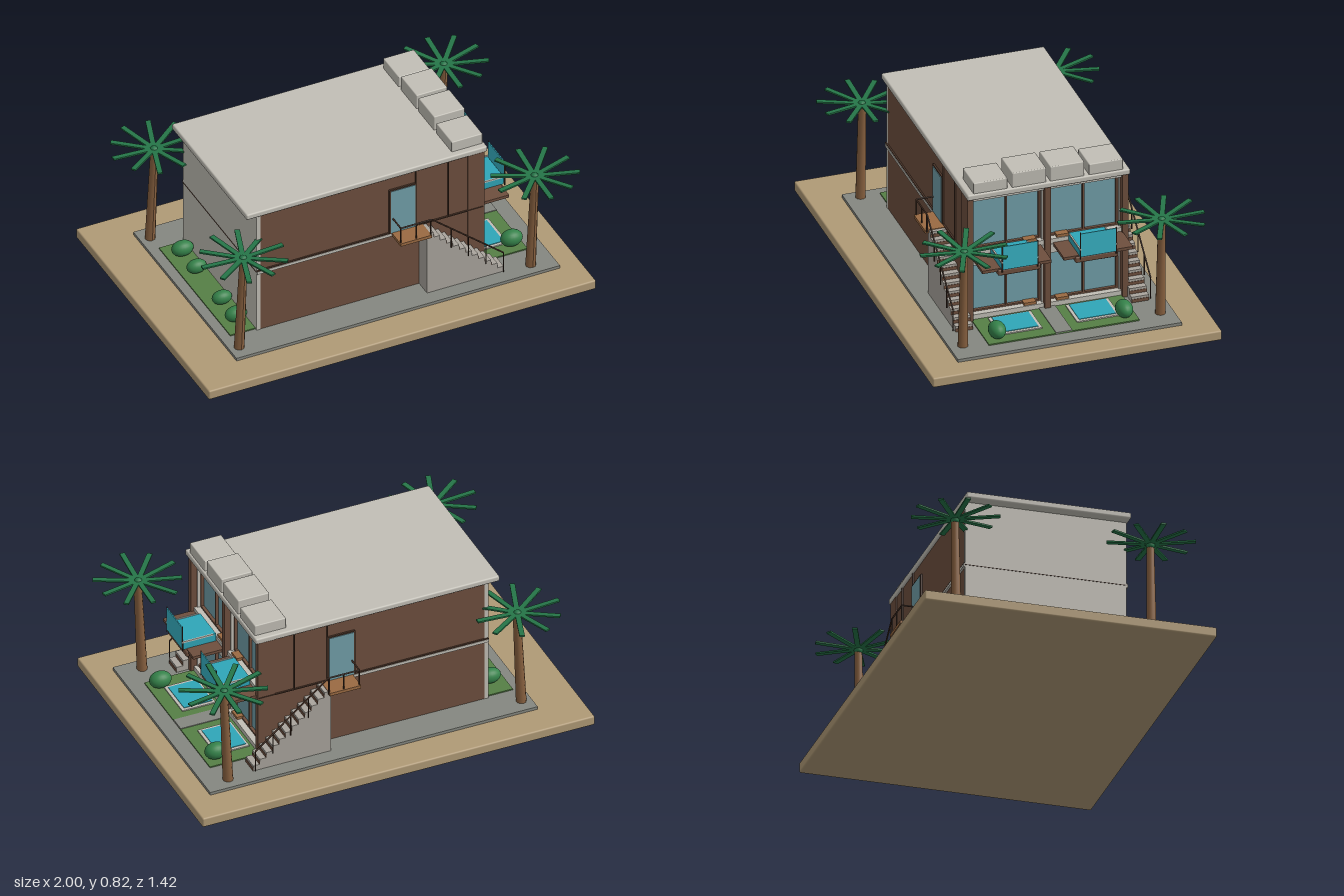
import * as THREE from 'three';
import { RoundedBoxGeometry } from 'three/addons/geometries/RoundedBoxGeometry.js';

const mat = (color) => new THREE.MeshStandardMaterial({ color });
const M = {
  sand: mat(0xb09a76), paving: mat(0x858780), grass: mat(0x557f45), brown: mat(0x6e4f3e),
  dark: mat(0x4a3428), concrete: mat(0xc2bfb6), stair: mat(0xaaa59d), glass: mat(0x72a0aa),
  water: mat(0x2fa6b8), panel: mat(0x38b4c6), wood: mat(0x9a6a42), trunk: mat(0x87603f),
  leaf: mat(0x257548), bush: mat(0x35824a),
};

function add(parent, name, geometry, material) {
  const mesh = new THREE.Mesh(geometry, material);
  mesh.name = name;
  parent.add(mesh);
  return mesh;
}

// Box given by its limits on each axis; r rounds the edges.
function box(parent, name, material, [x0, x1], [y0, y1], [z0, z1], r = 0) {
  const s = [x1 - x0, y1 - y0, z1 - z0];
  const geometry = r ? new RoundedBoxGeometry(...s, 2, r) : new THREE.BoxGeometry(...s);
  const mesh = add(parent, name, geometry, material);
  mesh.position.set((x0 + x1) / 2, (y0 + y1) / 2, (z0 + z1) / 2);
  return mesh;
}

// Thin round bar between two points.
function bar(parent, name, a, b, radius = 0.004) {
  const from = new THREE.Vector3(...a), to = new THREE.Vector3(...b);
  const dir = to.clone().sub(from);
  const mesh = add(parent, name, new THREE.CylinderGeometry(radius, radius, dir.length(), 8), M.dark);
  mesh.position.copy(from).add(to).multiplyScalar(0.5);
  mesh.quaternion.setFromUnitVectors(new THREE.Vector3(0, 1, 0), dir.normalize());
  return mesh;
}

function group(parent, name) {
  const g = new THREE.Group();
  g.name = name;
  parent.add(g);
  return g;
}

// Sliding windows, balcony and pool of one half; z runs from the middle outwards.
function bay(parent, s) {
  const span = (a, b) => (s > 0 ? [a, b] : [-b, -a]);
  [[0.095, 0.36], [0.43, 0.70]].forEach(([y0, y1], i) => {
    const w = group(parent, i ? 'upperWindow' : 'lowerWindow');
    box(w, 'glass', M.glass, [0.5, 0.515], [y0, y1], span(0.025, 0.355));
    box(w, 'sill', M.concrete, [0.5, 0.56], [y0 - 0.025, y0], span(0.015, 0.365));
    box(w, 'frameTop', M.brown, [0.5, 0.53], [y1 - 0.01, y1], span(0.025, 0.355));
    box(w, 'frameBottom', M.brown, [0.5, 0.53], [y0, y0 + 0.008], span(0.025, 0.355));
    for (const z of [0.022, 0.186, 0.35])
      box(w, 'mullion', M.brown, [0.5, 0.53], [y0, y1], span(z, z + 0.008));
    for (const z of [0.015, 0.358])
      box(w, 'jamb', M.concrete, [0.5, 0.545], [y0, y1], span(z, z + 0.007));
    box(w, 'bench', M.wood, [0.52, 0.555], [y0, y0 + 0.014], span(0.05, 0.11));
  });

  const b = group(parent, 'balcony');
  box(b, 'deck', M.brown, [0.56, 0.715], [0.395, 0.41], span(0.03, 0.37));
  box(b, 'tray', M.brown, [0.56, 0.725], [0.375, 0.405], span(0.085, 0.295), 0.006);
  box(b, 'tub', M.water, [0.565, 0.73], [0.408, 0.452], span(0.105, 0.28));
  for (const z of [0.1, 0.278])
    box(b, 'tubRim', M.concrete, [0.58, 0.74], [0.448, 0.456], span(z, z + 0.007));
  box(b, 'glassRail', M.panel, [0.733, 0.738], [0.412, 0.535], span(0.105, 0.28));
  for (const z of [0.105, 0.28]) bar(b, 'railPost', [0.736, 0.4, z * s], [0.736, 0.54, z * s], 0.003);

  const p = group(parent, 'pool');
  box(p, 'poolEdge', M.concrete, [0.575, 0.745], [0.06, 0.077], span(0.085, 0.295));
  box(p, 'poolWater', M.water, [0.585, 0.73], [0.06, 0.08], span(0.1, 0.28));
}

// Outside stair with landing, door and handrail on one side wall.
function stairSide(parent, s) {
  const span = (a, b) => (s > 0 ? [a, b] : [-b, -a]);
  const g = group(parent, 'sideStair');
  const n = 12, x0 = 0.24, run = 0.033, top = 0.405, rise = (top - 0.065) / n;
  const shape = new THREE.Shape();
  shape.moveTo(x0, 0.065);
  for (let i = 0; i < n; i++) {
    shape.lineTo(x0 + run * i, top - rise * i);
    shape.lineTo(x0 + run * (i + 1), top - rise * i);
  }
  shape.lineTo(x0 + run * n, 0.065);
  const steps = add(g, 'steps', new THREE.ExtrudeGeometry(shape, { depth: 0.085, bevelEnabled: false }), M.stair);
  steps.position.z = s > 0 ? 0.39 : -0.475;
  for (let i = 0; i < n; i++) {
    const x = x0 + run * (i + 1), y = top - rise * i;
    box(g, 'riser', M.brown, [x, x + 0.002], [y - rise, y - 0.012], span(0.39, 0.475));
  }
  box(g, 'landing', M.wood, [0.095, 0.255], [0.392, 0.408], span(0.385, 0.495));

  // Handrail
  const z = 0.485 * s;
  bar(g, 'landingRail', [0.1, 0.49, z], [0.26, 0.49, z]);
  bar(g, 'endRail', [0.1, 0.49, z], [0.1, 0.49, 0.39 * s]);
  for (const x of [0.1, 0.18, 0.255]) bar(g, 'railPost', [x, 0.4, z], [x, 0.49, z]);
  bar(g, 'handrail', [0.26, 0.49, z], [0.63, 0.18, z]);
  for (const x of [0.36, 0.45, 0.54, 0.63]) {
    const y = 0.49 - (x - 0.26) * 0.838;
    bar(g, 'railPost', [x, y - 0.11, z], [x, y, z], 0.003);
  }

  // Door and wall details
  box(g, 'doorFrame', M.dark, [0.082, 0.223], [0.405, 0.655], span(0.385, 0.399));
  box(g, 'doorGlass', M.glass, [0.09, 0.215], [0.41, 0.648], span(0.39, 0.402));
  for (const x of [0.222, 0.39])
    box(g, 'wallSeam', M.dark, [x - 0.002, x + 0.002], [0.405, 0.72], span(0.39, 0.397));
  box(g, 'floorBand', M.concrete, [-0.6, 0.25], [0.39, 0.405], span(0.38, 0.4));
  box(g, 'floorSeam', M.dark, [-0.6, 0.57], [0.405, 0.41], span(0.38, 0.398));
}

// Palm with a leaning trunk and flat, slightly raised fronds.
function palm(parent, x, z, turn) {
  const g = group(parent, 'palm');
  const trunk = new THREE.CylinderGeometry(0.019, 0.025, 0.49, 10);
  trunk.translate(0, 0.245, 0);
  const pos = trunk.attributes.position;
  for (let i = 0; i < pos.count; i++) pos.setX(i, pos.getX(i) + pos.getY(i) * 0.045);
  trunk.computeVertexNormals();
  add(g, 'trunk', trunk, M.trunk).position.set(-0.02, 0.065, 0);
  const fronds = 10;
  for (let i = 0; i < fronds; i++) {
    const geometry = new THREE.BoxGeometry(0.2 + 0.015 * (i % 2), 0.008, 0.025);
    geometry.translate(0.105, 0, 0);
    geometry.rotateZ(0.06);
    const frond = add(g, 'frond', geometry, M.leaf);
    frond.position.y = 0.572;
    frond.rotation.y = turn + (i / fronds) * Math.PI * 2;
  }
  add(g, 'crown', new THREE.SphereGeometry(0.022, 10, 8), M.leaf).position.y = 0.565;
  g.position.set(x, 0, z);
}

function bush(parent, x, z, rx, ry, rz) {
  const mesh = add(parent, 'bush', new THREE.SphereGeometry(1, 20, 14), M.bush);
  mesh.scale.set(rx, ry, rz);
  mesh.position.set(x, 0.07 + ry, z);
}

export function createModel() {
  const model = new THREE.Group();
  model.name = 'beachHouse';

  // Ground
  const ground = group(model, 'ground');
  box(ground, 'sandBase', M.sand, [-1, 1], [0, 0.05], [-0.71, 0.71], 0.008);
  box(ground, 'paving', M.paving, [-0.78, 0.89], [0.045, 0.065], [-0.55, 0.55]);
  box(ground, 'rearLawn', M.grass, [-0.73, -0.59], [0.06, 0.071], [-0.38, 0.38]);
  box(ground, 'frontLawn', M.grass, [0.56, 0.81], [0.06, 0.071], [-0.37, 0.37]);
  box(ground, 'path', M.paving, [0.56, 0.81], [0.06, 0.075], [-0.04, 0.04]);

  // House shell
  const house = group(model, 'house');
  box(house, 'body', M.brown, [-0.595, 0.505], [0.06, 0.72], [-0.39, 0.39]);
  box(house, 'rearWall', M.concrete, [-0.6, -0.58], [0.06, 0.72], [-0.392, 0.392]);
  box(house, 'rearSeam', M.dark, [-0.602, -0.59], [0.398, 0.401], [-0.392, 0.392]);
  for (const z of [-0.38, 0, 0.38])
    box(house, 'pier', M.brown, [0.49, 0.575], [0.06, 0.72], [z - 0.015, z + 0.015]);
  box(house, 'floorBeam', M.concrete, [0.49, 0.565], [0.36, 0.405], [-0.37, 0.37]);
  box(house, 'roofBeam', M.concrete, [0.49, 0.565], [0.7, 0.725], [-0.37, 0.37]);
  box(house, 'roof', M.concrete, [-0.655, 0.59], [0.72, 0.75], [-0.4, 0.4], 0.008);

  for (const s of [1, -1]) {
    bay(house, s);
    stairSide(house, s);
    // Roof units, taller ones in the middle
    [[0.01, 0.177, 0.825], [0.2, 0.367, 0.805]].forEach(([a, b, top]) =>
      box(house, 'roofUnit', M.concrete, [0.42, 0.58], [0.745, top], s > 0 ? [a, b] : [-b, -a], 0.005));

    // Planting
    palm(model, -0.71, 0.475 * s, 0);
    palm(model, 0.79, 0.485 * s, 0.25);
    bush(model, 0.755, 0.312 * s, 0.055, 0.041, 0.041);
    bush(model, -0.655, 0.285 * s, 0.055, 0.038, 0.038);
    bush(model, -0.655, 0.135 * s, 0.05, 0.034, 0.034);
  }
  return model;
}
